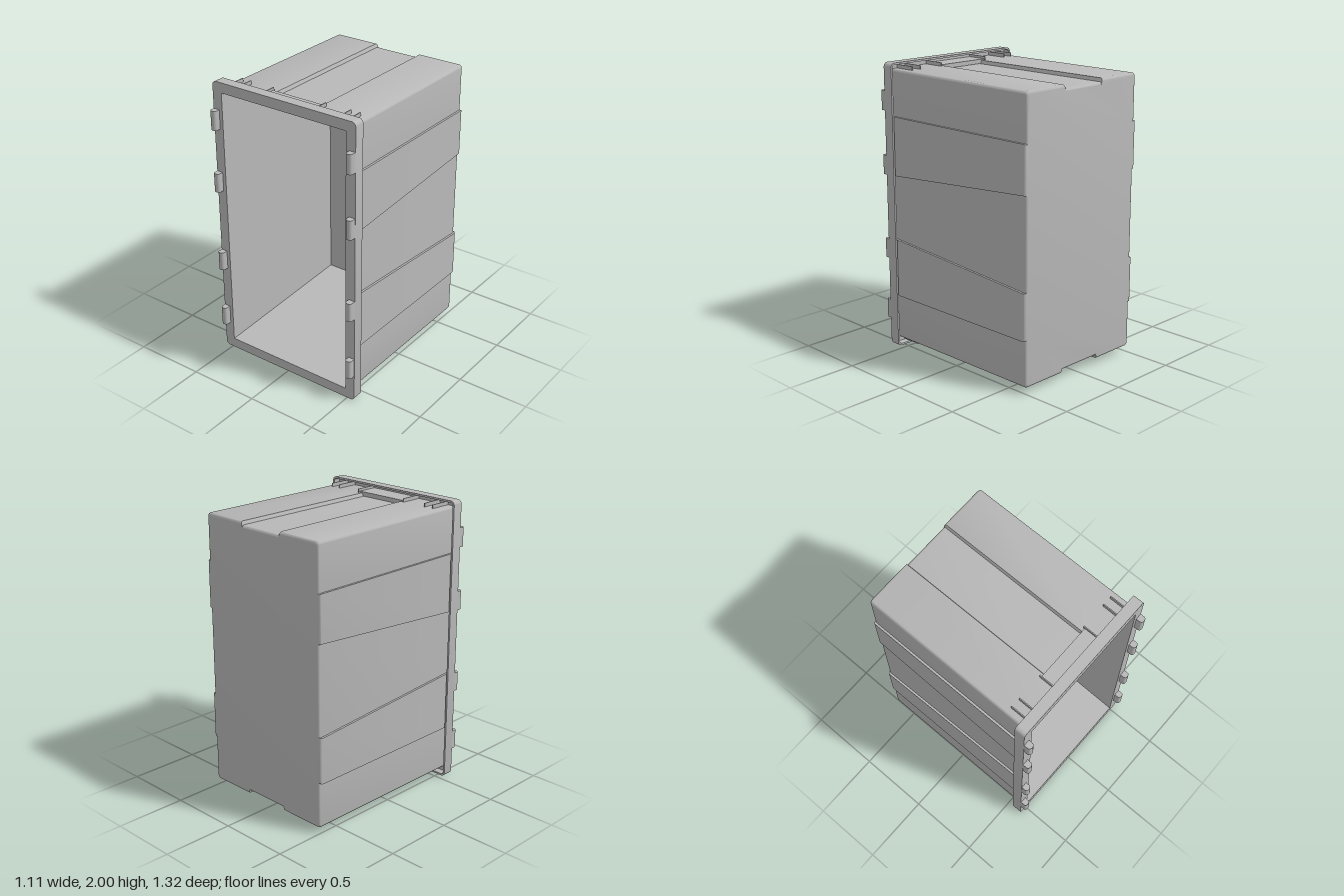
import * as THREE from 'three';
import { toCreasedNormals } from 'three/addons/utils/BufferGeometryUtils.js';

const BACK = -0.66, PLATE = 0.59, FRONT = 0.615, EDGE = 0.018;

// Joins counter-clockwise loops running from back to front and caps the back one
function loft(loops, inward = false) {
  const pos = [];
  const tri = (a, b, c) => (inward ? [a, c, b] : [a, b, c]).forEach(p => pos.push(p.x, p.y, p.z));
  for (let k = 0; k < loops.length - 1; k++) {
    const back = loops[k], front = loops[k + 1], n = back.length;
    for (let i = 0; i < n; i++) {
      const j = (i + 1) % n;
      tri(back[i], back[j], front[j]);
      tri(back[i], front[j], front[i]);
    }
  }
  const cap = loops[0];
  const faces = THREE.ShapeUtils.triangulateShape(cap.map(p => new THREE.Vector2(p.x, p.y)), []);
  for (const [a, b, c] of faces) tri(cap[a], cap[c], cap[b]);
  const geo = new THREE.BufferGeometry();
  geo.setAttribute('position', new THREE.Float32BufferAttribute(pos, 3));
  return toCreasedNormals(geo, 0.6);
}

// Body outline at depth z: recessed strip top and bottom, raised slanted bands on the sides
function bodyLoop(z, inset) {
  const hx = 0.51, bx = 0.525, y0 = 0.045, r = 0.02;
  const slant = 0.772 - (0.54 - z) * 0.0725;
  const corner = [];
  for (let i = 0; i <= 4; i++) {
    const a = -Math.PI / 2 + (i / 4) * Math.PI / 2;
    corner.push([hx - r + r * Math.cos(a), y0 + r + r * Math.sin(a)]);
  }
  const quarter = [[0.17, y0 + 0.024], [0.179, y0], ...corner,
    [hx, 0.365], [bx, 0.365], [bx, slant], [hx, slant]];
  const half = [...quarter, ...quarter.map(([x, y]) => [x, 2 - y]).reverse()];
  const all = [...half, ...half.map(([x, y]) => [-x, 2 - y])];
  const sx = 1 - inset / bx, sy = 1 - inset / (1 - y0);
  return all.map(([x, y]) => new THREE.Vector3(x * sx, 1 + (y - 1) * sy, z));
}

function rectLoop(hx, hy, z) {
  return [[-1, -1], [1, -1], [1, 1], [-1, 1]].map(([x, y]) => new THREE.Vector3(x * hx, 1 + y * hy, z));
}

// Rounded rectangle centred on y = 1
function roundRect(target, hx, hy, r) {
  const q = Math.PI / 2;
  target.absarc(hx - r, 1 - hy + r, r, -q, 0);
  target.absarc(hx - r, 1 + hy - r, r, 0, q);
  target.absarc(-hx + r, 1 + hy - r, r, q, 2 * q);
  target.absarc(-hx + r, 1 - hy + r, r, 2 * q, 3 * q);
  target.closePath();
  return target;
}

function ring(hole, z0, z1) {
  const shape = roundRect(new THREE.Shape(), 0.557, 1, 0.03);
  shape.holes.push(hole);
  const geo = new THREE.ExtrudeGeometry(shape, { depth: z1 - z0, bevelEnabled: false, curveSegments: 6 });
  return toCreasedNormals(geo.translate(0, 0, z0), 0.6);
}

export function createModel() {
  const model = new THREE.Group();
  model.name = 'openCase';
  const grey = new THREE.MeshStandardMaterial({ color: 0xb8b8b8 });
  const add = (name, geo, x = 0, y = 0, z = 0) => {
    const mesh = new THREE.Mesh(geo, grey);
    mesh.name = name;
    mesh.position.set(x, y, z);
    model.add(mesh);
    return mesh;
  };

  // Outer shell with a rounded back edge
  const loops = [];
  for (let i = 0; i <= 4; i++) {
    const a = (i / 4) * Math.PI / 2;
    loops.push(bodyLoop(BACK + EDGE * (1 - Math.cos(a)), EDGE * (1 - Math.sin(a))));
  }
  loops.push(bodyLoop(PLATE, 0));
  add('outerShell', loft(loops));

  // Cavity narrowing in height toward the back wall
  add('cavity', loft([rectLoop(0.485, 0.875, -0.52), rectLoop(0.485, 0.93, PLATE)], true));

  // Front flange plate and the thin lip turned back from it
  const opening = new THREE.Path(rectLoop(0.485, 0.93, 0).map(p => new THREE.Vector2(p.x, p.y)));
  add('frontFlange', ring(opening, PLATE, FRONT));
  add('flangeLip', ring(roundRect(new THREE.Path(), 0.544, 0.987, 0.018), 0.54, PLATE));

  // Hinge tabs with rounded tips along both sides
  const tab = new THREE.Shape();
  tab.moveTo(-0.0225, 0);
  tab.lineTo(0.0225, 0);
  tab.absarc(0.0045, 0.027, 0.018, 0, Math.PI / 2);
  tab.absarc(-0.0045, 0.027, 0.018, Math.PI / 2, Math.PI);
  tab.closePath();
  const tabGeo = toCreasedNormals(
    new THREE.ExtrudeGeometry(tab, { depth: 0.134, bevelEnabled: false, curveSegments: 6 }).rotateX(Math.PI / 2), 0.6);
  for (const side of [-1, 1]) {
    for (const top of [1.81, 1.367, 0.773, 0.33]) add('hingeTab', tabGeo, side * 0.533, top, FRONT);
  }

  // Stiffening ribs and the block closing each recessed strip, top and bottom
  const ribGeo = new THREE.BoxGeometry(0.007, 0.04, 0.155);
  const blockGeo = new THREE.BoxGeometry(0.405, 0.03, 0.145);
  for (const end of [-1, 1]) {
    for (const x of [0.205, 0.392, 0.46]) {
      for (const side of [-1, 1]) add('flangeRib', ribGeo, side * x, 1 + end * 0.96, 0.5125);
    }
    add('stripBlock', blockGeo, 0, 1 + end * 0.948, 0.5175);
  }

  return model;
}
